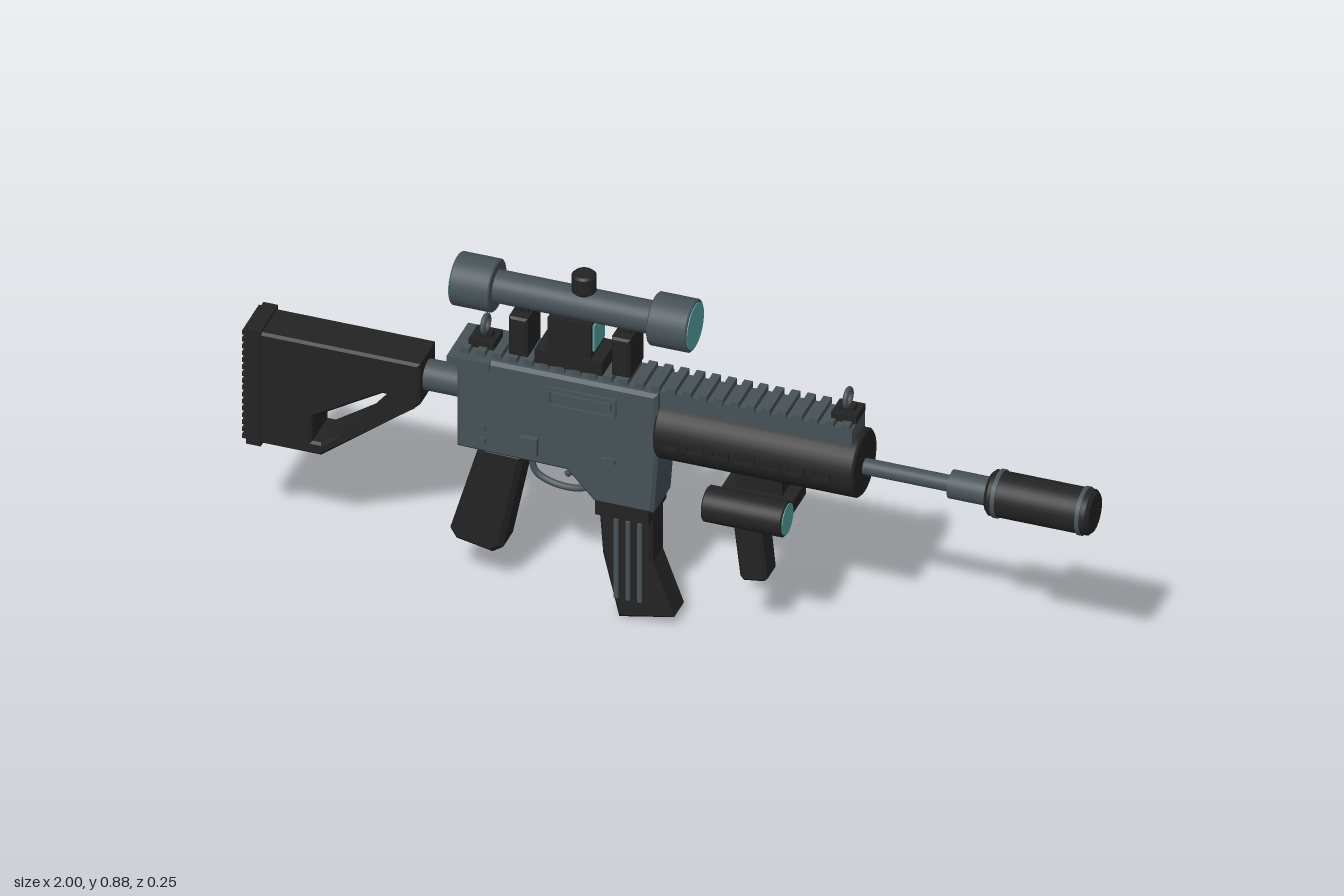
import * as THREE from 'three';

const mat = (name, color) => new THREE.MeshStandardMaterial({ name, color });

export function createModel() {
  const metal = mat('slate metal', 0x465157);
  const black = mat('black polymer', 0x232323);
  const glass = mat('teal glass', 0x55a3a3);
  const root = new THREE.Group();
  root.name = 'rifle';
  root.position.z = -0.01;

  const add = (name, geo, m, x = 0, y = 0, z = 0) => {
    const mesh = new THREE.Mesh(geo, m);
    mesh.name = name;
    mesh.position.set(x, y, z);
    root.add(mesh);
    return mesh;
  };
  // box from its x, y and z limits
  const box = (name, m, x0, x1, y0, y1, z0, z1) =>
    add(name, new THREE.BoxGeometry(x1 - x0, y1 - y0, z1 - z0), m, (x0 + x1) / 2, (y0 + y1) / 2, (z0 + z1) / 2);
  // cylinder lying along x
  const rod = (name, m, x0, x1, r, y, z = 0) =>
    add(name, new THREE.CylinderGeometry(r, r, x1 - x0, 32).rotateZ(-Math.PI / 2), m, (x0 + x1) / 2, y, z);
  // round bar along x with bevelled ends
  const bevelRod = (name, m, x0, x1, r, y, z = 0, b = 0.008) => {
    const h = (x1 - x0) / 2;
    const pts = [[0, -h], [r - b, -h], [r - b, -h], [r, -h + b], [r, -h + b], [r, h - b], [r, h - b], [r - b, h], [r - b, h], [0, h]];
    return add(name, new THREE.LatheGeometry(pts.map(p => new THREE.Vector2(...p)), 36).rotateZ(-Math.PI / 2), m, (x0 + x1) / 2, y, z);
  };
  // side profile given thickness along z
  const vecs = pts => pts.map(p => new THREE.Vector2(...p));
  const slab = (name, m, pts, half, bevel = 0.01, hole) => {
    const shape = new THREE.Shape(vecs(pts));
    if (hole) shape.holes.push(new THREE.Path(vecs(hole)));
    const geo = new THREE.ExtrudeGeometry(shape, {
      depth: 2 * (half - bevel), bevelEnabled: bevel > 0, bevelThickness: bevel,
      bevelSize: bevel, bevelOffset: -bevel, bevelSegments: 1 });
    return add(name, geo, m, 0, 0, -half + bevel);
  };
  // rounded rectangular frame for slots and the port
  const frame = (name, m, x, y, z, w, h, t, depth) => {
    const pill = (P, a, b) => {
      const r = b * 0.35, p = new P();
      p.moveTo(-a + r, -b); p.lineTo(a - r, -b); p.quadraticCurveTo(a, -b, a, -b + r);
      p.lineTo(a, b - r); p.quadraticCurveTo(a, b, a - r, b);
      p.lineTo(-a + r, b); p.quadraticCurveTo(-a, b, -a, b - r);
      p.lineTo(-a, -b + r); p.quadraticCurveTo(-a, -b, -a + r, -b);
      return p;
    };
    const s = pill(THREE.Shape, w / 2, h / 2);
    s.holes.push(pill(THREE.Path, w / 2 - t, h / 2 - t));
    return add(name, new THREE.ExtrudeGeometry(s, { depth, bevelEnabled: false, curveSegments: 4 }), m, x, y, z - depth / 2);
  };

  // Receiver with magazine well
  slab('receiver', metal, [[-0.49, 0.39], [-0.23, 0.385], [-0.165, 0.315], [-0.025, 0.315],
    [-0.015, 0.46], [-0.015, 0.635], [-0.49, 0.635]], 0.062, 0.008);
  box('rearPlate', metal, -0.51, -0.41, 0.613, 0.635, -0.07, 0.07);
  frame('ejectionPort', metal, -0.193, 0.577, 0.062, 0.165, 0.055, 0.009, 0.012);
  box('ejectionCover', metal, -0.263, -0.123, 0.573, 0.59, 0.06, 0.067);
  box('magazineRelease', metal, -0.335, -0.295, 0.415, 0.46, 0.06, 0.077);
  for (const s of [1, -1]) {
    for (const [x, y, r] of [[-0.43, 0.457, 0.011], [-0.43, 0.422, 0.011], [-0.125, 0.435, 0.013]]) {
      add('pin', new THREE.CylinderGeometry(r, r, 0.014, 16).rotateX(Math.PI / 2), metal, x, y, s * 0.065);
    }
    box('selectorLever', metal, -0.145, -0.12, 0.425, 0.445, s * 0.068 - 0.005, s * 0.068 + 0.005);
  }
  add('chargingHandle', new THREE.CylinderGeometry(0.02, 0.02, 0.065, 20).rotateX(Math.PI / 2), black, -0.383, 0.57, -0.083);

  // Trigger and guard
  const guard = new THREE.CatmullRomCurve3([[-0.335, 0.385], [-0.325, 0.325], [-0.28, 0.302], [-0.22, 0.302], [-0.175, 0.325]]
    .map(p => new THREE.Vector3(p[0], p[1], 0)));
  add('triggerGuard', new THREE.TubeGeometry(guard, 24, 0.008, 8), metal);
  const pull = new THREE.CatmullRomCurve3([[-0.235, 0.39], [-0.227, 0.36], [-0.25, 0.333]]
    .map(p => new THREE.Vector3(p[0], p[1], 0)));
  add('trigger', new THREE.TubeGeometry(pull, 12, 0.008, 8), metal);

  // Pistol grip and magazine
  slab('pistolGrip', black, [[-0.45, 0.375], [-0.435, 0.392], [-0.335, 0.387], [-0.343, 0.36], [-0.39, 0.125],
    [-0.415, 0.108], [-0.5, 0.125], [-0.515, 0.15]], 0.044, 0.012);
  slab('magazine', black, [[-0.165, 0.33], [-0.035, 0.33], [-0.035, 0.165], [0.015, 0.03],
    [-0.115, 0.003], [-0.153, 0.165]], 0.04, 0.008);
  box('magazineCollar', black, -0.163, -0.036, 0.282, 0.32, -0.058, 0.058);
  for (const x of [-0.118, -0.09, -0.062]) {
    box('magazineRib', metal, x - 0.005, x + 0.005, 0.06, 0.27, 0.036, 0.047);
  }

  // Stock, butt pad and buffer tube
  rod('bufferTube', metal, -0.6, -0.48, 0.036, 0.525);
  slab('stock', black, [[-0.965, 0.285], [-0.815, 0.285], [-0.595, 0.46], [-0.58, 0.475], [-0.58, 0.582], [-0.965, 0.582]],
    0.054, 0.006, [[-0.835, 0.318], [-0.815, 0.318], [-0.597, 0.468], [-0.597, 0.484], [-0.67, 0.484], [-0.835, 0.383]]);
  box('buttPad', black, -0.99, -0.955, 0.28, 0.588, -0.057, 0.057);
  for (let i = 0; i < 16; i++) {
    const y = 0.292 + i * 0.0185;
    box('buttRidge', black, -1, -0.985, y, y + 0.01, -0.055, 0.055);
  }

  // Handguard with slots on both sides
  bevelRod('handguard', black, -0.02, 0.455, 0.08, 0.525, 0, 0.005);
  for (const s of [1, -1]) for (let i = 0; i < 7; i++) {
    frame('handguardSlot', black, 0.02 + i * 0.06, 0.525, s * 0.078, 0.044, 0.026, 0.006, 0.014);
  }

  // Top rail
  box('rail', metal, -0.5, 0.44, 0.59, 0.636, -0.042, 0.042);
  for (let i = 0; i < 25; i++) {
    const x = -0.475 + i * 0.0375;
    box('railTooth', metal, x - 0.01, x + 0.01, 0.634, 0.65, -0.047, 0.047);
  }

  // Folding ring sights
  for (const x of [-0.443, 0.415]) {
    box('sightBase', black, x - 0.03, x + 0.03, 0.645, 0.664, -0.03, 0.03);
    box('sightPost', black, x - 0.018, x + 0.018, 0.66, 0.675, -0.012, 0.012);
    add('sightRing', new THREE.TorusGeometry(0.02, 0.006, 10, 24).rotateY(Math.PI / 2), metal, x, 0.692);
  }

  // Barrel and muzzle
  rod('barrel', metal, 0.44, 0.68, 0.019, 0.517);
  rod('barrelCollar', metal, 0.66, 0.765, 0.033, 0.517);
  bevelRod('suppressor', black, 0.752, 1, 0.053, 0.517);
  for (const x of [0.775, 0.975]) rod('suppressorRing', metal, x - 0.005, x + 0.005, 0.056, 0.517);
  const bore = add('muzzleRim', new THREE.TorusGeometry(0.024, 0.003, 8, 24).rotateY(Math.PI / 2), black, 0.998, 0.517);
  bore.scale.x = 0.6;

  // Scope
  rod('scopeTube', metal, -0.45, 0, 0.038, 0.8);
  for (const [x0, x1, end] of [[-0.51, -0.415, -1], [-0.042, 0.052, 1]]) {
    bevelRod('scopeBell', metal, x0, x1, 0.0615, 0.8, 0, 0.003);
    const x = end > 0 ? x1 : x0;
    rod('scopeLens', glass, x - 0.002, x + 0.002, 0.055, 0.8);
  }
  bevelRod('scopeTurret', black, -0.025, 0.025, 0.028, 0, 0, 0.005).rotation.z = Math.PI / 2;
  root.children[root.children.length - 1].position.set(-0.21, 0.857, 0);

  // Scope mount and lower sight with glass panes
  box('mountPlate', black, -0.31, -0.15, 0.648, 0.685, -0.047, 0.047);
  box('mountBlock', black, -0.28, -0.178, 0.68, 0.775, -0.044, 0.044);
  for (const x of [-0.281, -0.176]) box('sightPane', glass, x - 0.003, x + 0.003, 0.7, 0.768, -0.033, 0.033);
  for (const x of [-0.35, -0.107]) {
    slab('mountBracket', black, [[x - 0.022, 0.655], [x + 0.022, 0.655], [x + 0.022, 0.757], [x - 0.022, 0.757]], 0.047, 0.005);
    box('mountClamp', black, x - 0.015, x + 0.015, 0.745, 0.785, -0.02, 0.02);
  }

  // Foregrip, its mount and the side light
  box('foregripMount', black, 0.13, 0.3, 0.38, 0.412, -0.042, 0.042);
  box('foregripRiser', black, 0.16, 0.27, 0.405, 0.47, -0.03, 0.03);
  slab('foregrip', black, [[0.145, 0.39], [0.213, 0.39], [0.234, 0.18], [0.225, 0.172], [0.178, 0.165], [0.17, 0.175]], 0.035, 0.008);
  box('lightArm', black, 0.15, 0.27, 0.385, 0.41, 0.03, 0.07);
  bevelRod('sideLight', black, 0.115, 0.305, 0.042, 0.4, 0.095, 0.003);
  rod('lightLens', glass, 0.303, 0.307, 0.037, 0.4, 0.095);

  return root;
}
